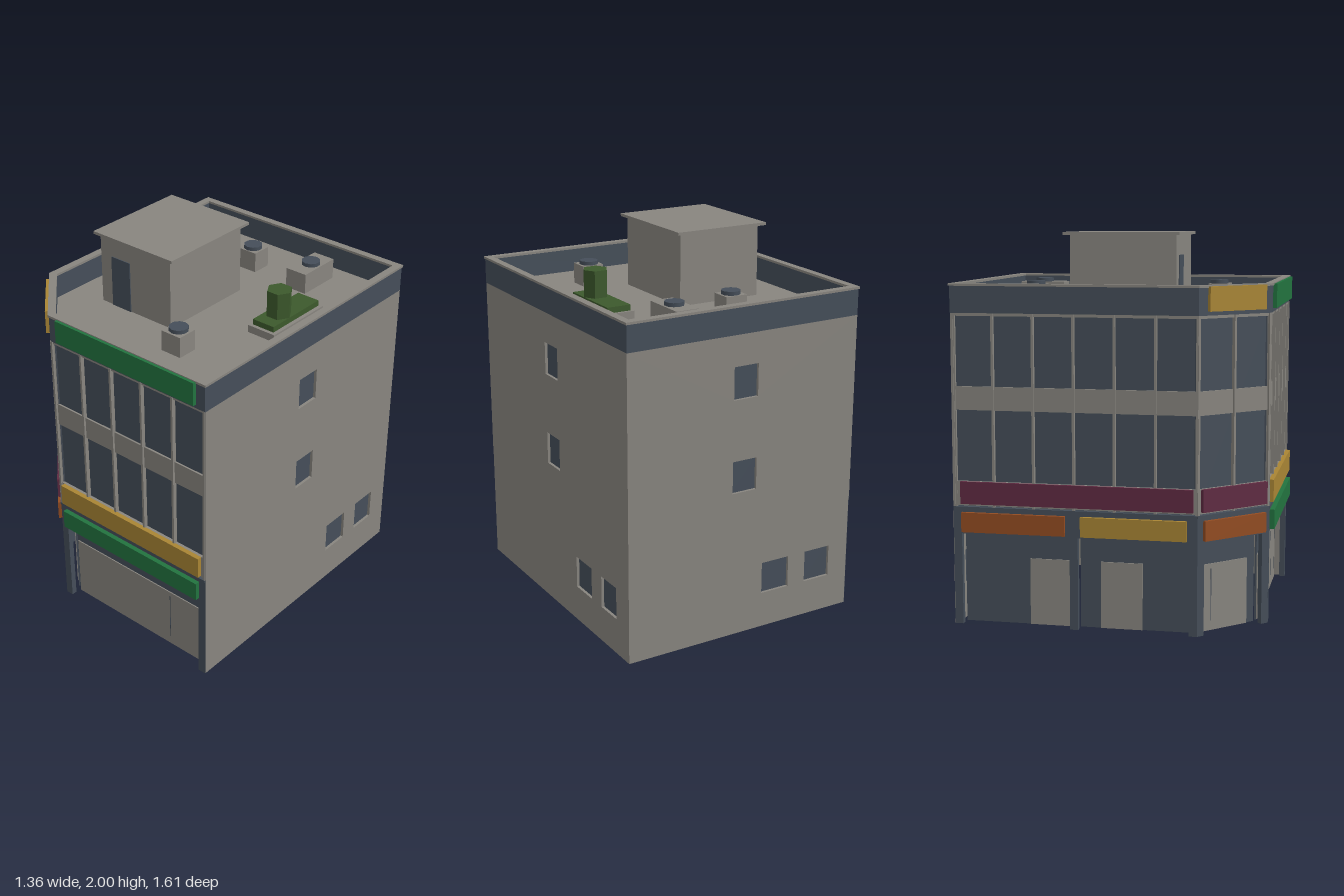
import * as THREE from 'three';

const mat = (name, color) => {
  const m = new THREE.MeshStandardMaterial({ color });
  m.name = name;
  return m;
};

export function createModel() {
  const concrete = mat('concrete grey', 0x88857f);
  const slate = mat('slate blue', 0x454e59);
  const green = mat('sign green', 0x22733f);
  const yellow = mat('sign yellow', 0xa98534);
  const plum = mat('sign plum', 0x602b42);
  const orange = mat('sign orange', 0x934c22);
  const leaf = mat('tank green', 0x3c592c);

  const model = new THREE.Group();
  model.name = 'cornerBuilding';

  const add = (parent, name, geometry, material) => {
    const mesh = new THREE.Mesh(geometry, material);
    mesh.name = name;
    parent.add(mesh);
    return mesh;
  };
  // Box given by its minimum and maximum on each axis
  const box = (parent, name, material, x0, x1, y0, y1, z0, z1) => {
    const mesh = add(parent, name, new THREE.BoxGeometry(x1 - x0, y1 - y0, z1 - z0), material);
    mesh.position.set((x0 + x1) / 2, (y0 + y1) / 2, (z0 + z1) / 2);
    return mesh;
  };

  // Footprint with one cut corner, inset by d (plan y is -z)
  const plan = (d) => [
    [0.67 - d, -0.8 + d], [-0.66 + d, -0.8 + d], [-0.66 + d, 0.46 - 0.414 * d],
    [-0.34 + 0.414 * d, 0.78 - d], [0.67 - d, 0.78 - d],
  ].map(([x, z]) => new THREE.Vector2(x, -z));
  const slab = (name, material, y0, y1, outer, inner) => {
    const shape = new THREE.Shape(plan(outer));
    if (inner !== undefined) shape.holes.push(new THREE.Path(plan(inner)));
    const geometry = new THREE.ExtrudeGeometry(shape, { depth: y1 - y0, bevelEnabled: false });
    geometry.rotateX(-Math.PI / 2).translate(0, y0, 0);
    add(model, name, geometry, material);
  };
  slab('roofFloor', concrete, 1.585, 1.61, 0.006);
  slab('parapet', slate, 1.6, 1.735, 0, 0.03);
  slab('parapetCap', concrete, 1.735, 1.747, -0.005, 0.035);

  // Plain walls with recessed windows
  const rect = (Type, x0, x1, y0, y1) => new Type([
    new THREE.Vector2(x0, y0), new THREE.Vector2(x1, y0),
    new THREE.Vector2(x1, y1), new THREE.Vector2(x0, y1)]);
  const plainWall = (name, u0, u1, face, angle, windows) => {
    const wall = new THREE.Group();
    wall.name = name;
    wall.rotation.y = angle;
    const shape = rect(THREE.Shape, u0, u1, 0, 1.6);
    for (const [u, y, w] of windows) {
      shape.holes.push(rect(THREE.Path, u - w / 2, u + w / 2, y - 0.085, y + 0.085));
      box(wall, 'windowPane', slate, u - w / 2, u + w / 2, y - 0.085, y + 0.085, face - 0.022, face - 0.015);
    }
    const geometry = new THREE.ExtrudeGeometry(shape, { depth: 0.022, bevelEnabled: false });
    add(wall, 'wallPanel', geometry.translate(0, 0, face - 0.022), concrete);
    model.add(wall);
  };
  plainWall('rightWall', -0.775, 0.8, 0.67, Math.PI / 2,
    [[0.01, 1.355, 0.14], [0.01, 0.865, 0.14], [0.33, 0.275, 0.165], [0.595, 0.275, 0.155]]);
  plainWall('backWall', -0.67, 0.656, 0.8, Math.PI,
    [[-0.005, 1.355, 0.14], [-0.005, 0.865, 0.14], [0.195, 0.275, 0.165], [0.46, 0.275, 0.155]]);

  // Street facade running from (x, z); local x runs along it, local z points outward
  const facade = ({ name, x, z, length, angle, bays, pillars, doors, doorLines, signs }) => {
    const f = new THREE.Group();
    f.name = name;
    f.position.set(x, 0, z);
    f.rotation.y = angle;
    box(f, 'glazing', slate, 0, length, 0.61, 1.6, -0.03, -0.02);
    box(f, 'spandrelBand', concrete, 0, length, 1.11, 1.23, -0.02, -0.01);
    box(f, 'lowerSpandrel', concrete, 0, length, 0.62, 0.745, -0.02, -0.005);
    for (let i = 0; i <= bays; i++) {
      const u = 0.006 + (i / bays) * (length - 0.012);
      box(f, 'mullion', concrete, u - 0.006, u + 0.006, 0.615, 1.6, -0.02, 0.002);
    }
    box(f, 'ledge', slate, 0, length, 0.6, 0.615, -0.07, 0.004);
    box(f, 'header', slate, 0, length, 0.475, 0.6, -0.07, 0);
    // Pillars in front of recessed shop panels
    pillars.forEach((u, i) => {
      box(f, 'pillar', slate, u, u + 0.042, 0, 0.475, -0.03, 0);
      if (i + 1 < pillars.length)
        box(f, 'shopPanel', slate, u + 0.042, pillars[i + 1], 0, 0.475, -0.075, -0.065);
    });
    for (const [u0, u1] of doors) box(f, 'shutter', concrete, u0, u1, 0, 0.345, -0.066, -0.059);
    for (const u of doorLines) box(f, 'doorSeam', slate, u - 0.002, u + 0.002, 0.05, 0.32, -0.06, -0.058);
    for (const [material, u0, u1, y0, y1, depth] of signs)
      box(f, 'signBoard', material, u0, u1, y0, y1, -0.005, depth);
    model.add(f);
  };
  facade({
    name: 'frontFacade', x: -0.34, z: 0.78, length: 1.008, angle: 0, bays: 5,
    pillars: [0, 0.966], doors: [[0.05, 0.96]], doorLines: [0.72, 0.93],
    signs: [[green, 0.06, 0.955, 1.62, 1.742, 0.02], [yellow, 0.03, 0.98, 0.63, 0.745, 0.02],
      [green, 0.04, 0.97, 0.485, 0.587, 0.025]],
  });
  facade({
    name: 'cornerFacade', x: -0.66, z: 0.46, length: 0.4525, angle: -Math.PI / 4, bays: 2,
    pillars: [0, 0.41], doors: [[0.045, 0.36]], doorLines: [0.13],
    signs: [[yellow, 0.055, 0.405, 1.62, 1.742, 0.02], [plum, 0.025, 0.43, 0.63, 0.745, 0.015],
      [orange, 0.035, 0.42, 0.485, 0.587, 0.02]],
  });
  facade({
    name: 'leftFacade', x: -0.66, z: -0.797, length: 1.257, angle: -Math.PI / 2, bays: 6,
    pillars: [0, 0.607, 1.215], doors: [[0.385, 0.6], [0.755, 0.97]], doorLines: [],
    signs: [[plum, 0.04, 1.235, 0.63, 0.745, 0.012], [orange, 0.045, 0.585, 0.485, 0.587, 0.02],
      [yellow, 0.665, 1.205, 0.485, 0.587, 0.02]],
  });

  // Roof stair house
  box(model, 'stairHouse', concrete, -0.43, 0.04, 1.6, 1.985, -0.235, 0.31);
  box(model, 'stairHouseRoof', concrete, -0.46, 0.07, 1.985, 2, -0.265, 0.33);
  box(model, 'stairHouseDoor', slate, -0.355, -0.23, 1.61, 1.885, 0.309, 0.315);

  // Rooftop air units, each with a round fan
  for (const [x0, x1, z0, z1, fx, fz] of [
    [-0.15, -0.03, -0.56, -0.45, -0.09, -0.505],
    [0.2, 0.325, -0.67, -0.425, 0.265, -0.55],
    [0.15, 0.27, 0.39, 0.5, 0.21, 0.44]]) {
    box(model, 'airUnit', concrete, x0, x1, 1.6, 1.72, z0, z1);
    add(model, 'airUnitFan', new THREE.CylinderGeometry(0.05, 0.05, 0.02, 10).toNonIndexed(), slate)
      .position.set(fx, 1.73, fz);
  }

  // Green tank on its plinth
  box(model, 'tankPlinth', concrete, 0.355, 0.52, 1.6, 1.65, -0.32, 0.085);
  box(model, 'tankBase', leaf, 0.37, 0.5, 1.65, 1.68, -0.305, 0.065);
  const tankShape = new THREE.CylinderGeometry(0.066, 0.066, 0.14, 6).rotateY(Math.PI / 2).toNonIndexed();
  tankShape.computeVertexNormals();
  add(model, 'tank', tankShape, leaf).position.set(0.435, 1.75, -0.06);

  return model;
}
